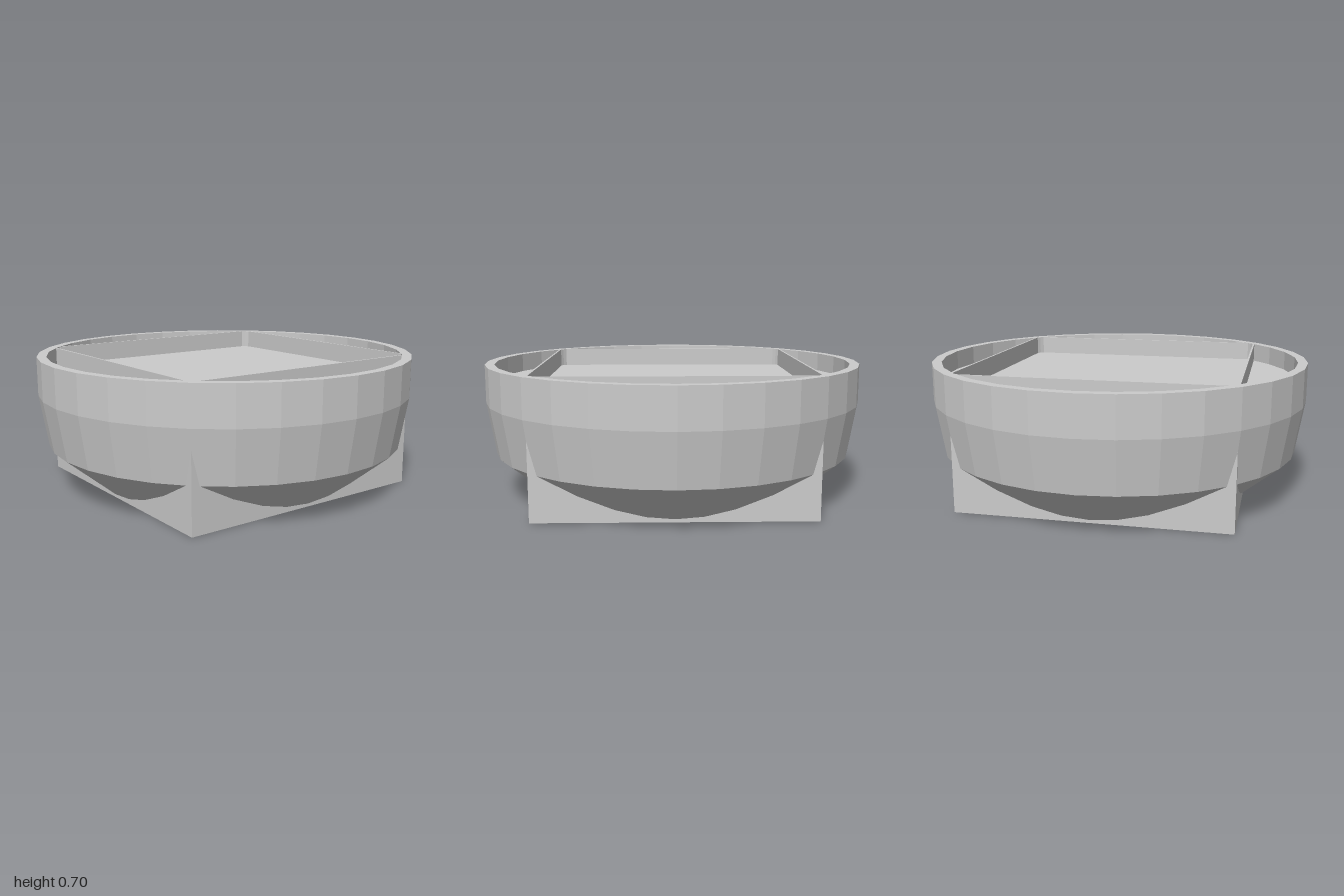
import * as THREE from 'three';

export function createModel() {
  const group = new THREE.Group();
  const material = new THREE.MeshStandardMaterial({ color: 0xcccccc, flatShading: true });

  function add(name, geometry, x = 0, y = 0, z = 0) {
    const mesh = new THREE.Mesh(geometry, material);
    mesh.name = name;
    mesh.position.set(x, y, z);
    group.add(mesh);
    return mesh;
  }

  // Round faceted dish: sloped underside, outer wall, rim and recessed floor
  const profile = [
    [0.68, 0.003], [0.955, 0.23], [1, 0.5], [1, 0.7], [0.95, 0.7], [0.95, 0.6], [0, 0.6],
  ].map(([r, y]) => new THREE.Vector2(r, y));
  add('dish', new THREE.LatheGeometry(profile, 32));

  // Square base block, its corners merging into the dish wall
  const half = 0.695;
  add('squareBase', new THREE.BoxGeometry(half * 2, 0.59, half * 2), 0, 0.295, 0);

  // Four thin dividers standing on the floor above the base sides
  const thickness = 0.01;
  for (let i = 0; i < 4; i++) {
    const angle = (i * Math.PI) / 2;
    const d = half - thickness / 2;
    const wall = add('divider', new THREE.BoxGeometry(1.31, 0.11, thickness),
      Math.sin(angle) * d, 0.645, Math.cos(angle) * d);
    wall.rotation.y = angle;
  }

  return group;
}
